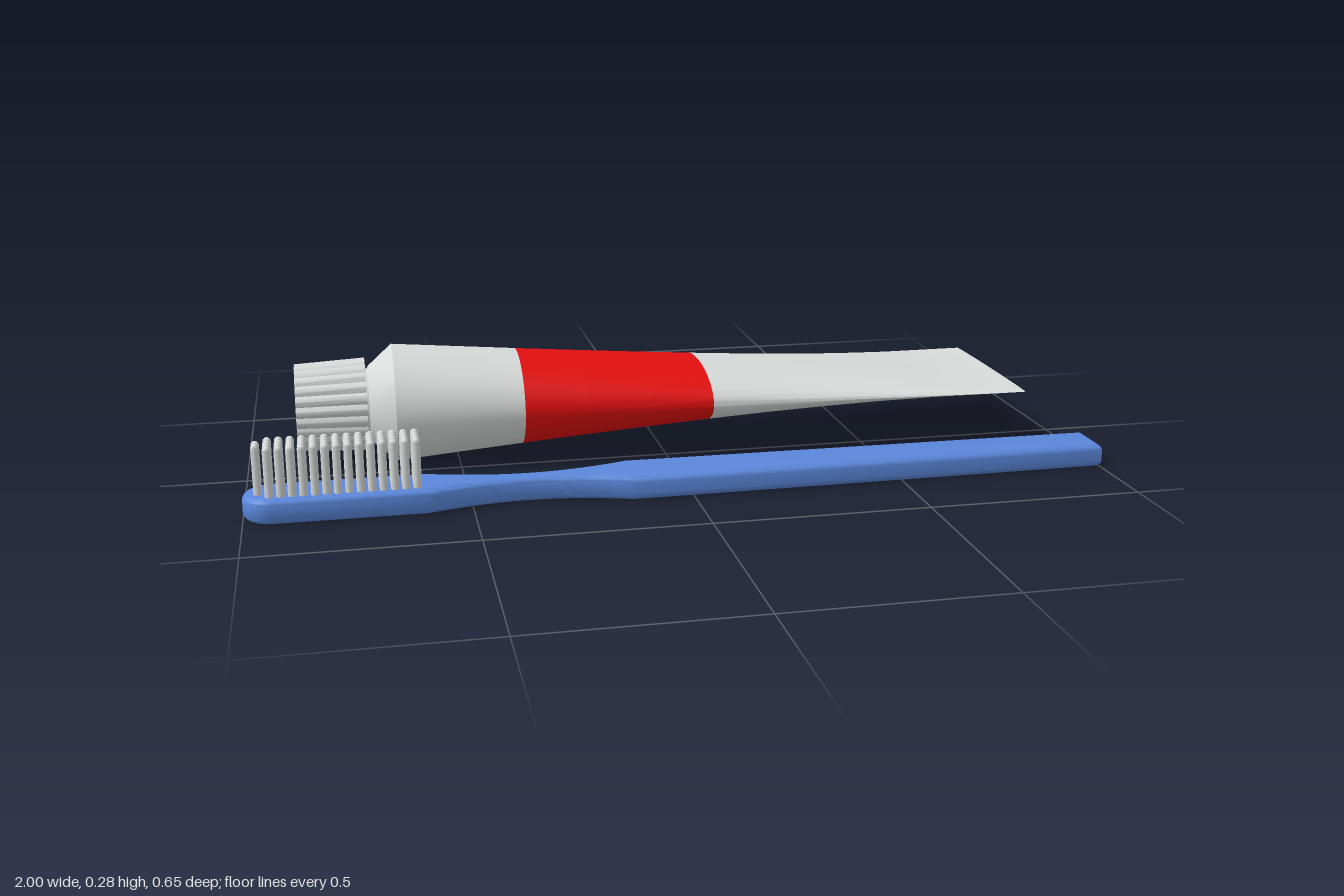
import * as THREE from 'three';
import { toCreasedNormals, mergeVertices } from 'three/addons/utils/BufferGeometryUtils.js';

const TUBE_Y = 0.143, TUBE_Z = -0.1;

// Skin elliptical rings { x, a: half width, b: half height, rib: groove depth } running towards +x
function loft(rings, n, ribs = 0) {
  const pos = [], idx = [];
  for (const { x, a, b = a, rib = 0 } of rings) {
    for (let j = 0; j < n; j++) {
      const t = (j / n) * Math.PI * 2;
      const groove = rib * (1 - Math.abs(Math.sin(t * ribs / 2)));
      pos.push(x, TUBE_Y + (b - groove) * Math.sin(t), TUBE_Z + (a - groove) * Math.cos(t));
    }
  }
  for (let i = 0; i < rings.length - 1; i++) {
    for (let j = 0; j < n; j++) {
      const k = (j + 1) % n, p = i * n, q = p + n;
      idx.push(p + j, q + j, q + k, p + j, q + k, p + k);
    }
  }
  const g = new THREE.BufferGeometry();
  g.setAttribute('position', new THREE.Float32BufferAttribute(pos, 3));
  g.setIndex(idx);
  return g;
}

export function createModel() {
  const white = new THREE.MeshStandardMaterial({ color: 0xd8dcda });
  white.name = 'white';
  const red = new THREE.MeshStandardMaterial({ color: 0xe60f0f });
  red.name = 'red';
  const blue = new THREE.MeshStandardMaterial({ color: 0x5b88dc });
  blue.name = 'blue';

  const model = new THREE.Group();
  model.name = 'toothbrushAndPaste';
  const add = (name, geometry, material, parent = model) => {
    const mesh = new THREE.Mesh(geometry, material);
    mesh.name = name;
    parent.add(mesh);
    return mesh;
  };

  // Tube: round at the shoulder, pressed flat at the crimped end
  const tube = new THREE.Group();
  tube.name = 'tube';
  model.add(tube);
  const N = 64;
  const xs = [-0.65, -0.5, -0.35, -0.2, -0.05, 0.1, 0.24, 0.38, 0.52, 0.66, 0.8];
  const rings = xs.map((x) => {
    const t = (x + 0.65) / 1.45;
    return { x, a: THREE.MathUtils.lerp(0.141, 0.226, t), b: THREE.MathUtils.lerp(0.141, 0.003, t) };
  });
  rings.push({ x: 0.88, a: 0.226, b: 0.003 }, { x: 0.88, a: 0 });
  const body = loft(rings, N);
  const strip = N * 6;
  body.addGroup(0, strip * 2, 0);
  body.addGroup(strip * 2, strip * 3, 1); // coloured band
  body.addGroup(strip * 5, strip * (rings.length - 6), 0);
  add('tubeBody', toCreasedNormals(body, 0.6), [white, red], tube);

  // Shoulder and neck
  add('shoulder', toCreasedNormals(loft([
    { x: -0.74, a: 0.085 }, { x: -0.71, a: 0.085 }, { x: -0.706, a: 0.092 }, { x: -0.65, a: 0.141 },
  ], N), 0.5), white, tube);

  // Ribbed cap with a recessed end
  add('cap', toCreasedNormals(loft([
    { x: -0.865, a: 0 }, { x: -0.865, a: 0.085 }, { x: -0.88, a: 0.085 },
    { x: -0.88, a: 0.104, rib: 0.006 }, { x: -0.715, a: 0.112, rib: 0.006 }, { x: -0.715, a: 0.08 },
  ], 144, 24), 0.6), white, tube);

  // Brush
  const brush = new THREE.Group();
  brush.name = 'brush';
  brush.position.z = 0.256;
  model.add(brush);

  // Handle outline: round head, waisted neck, tapering grip
  const s = new THREE.Shape();
  s.moveTo(1, -0.057);
  s.lineTo(1, 0.057);
  s.lineTo(-0.14, 0.067);
  s.bezierCurveTo(-0.22, 0.04, -0.29, 0.025, -0.37, 0.025);
  s.bezierCurveTo(-0.45, 0.025, -0.52, 0.04, -0.6, 0.066);
  s.lineTo(-0.935, 0.066);
  s.bezierCurveTo(-0.975, 0.066, -1, 0.035, -1, 0);
  s.bezierCurveTo(-1, -0.035, -0.975, -0.066, -0.935, -0.066);
  s.lineTo(-0.6, -0.066);
  s.bezierCurveTo(-0.52, -0.04, -0.45, -0.025, -0.37, -0.025);
  s.bezierCurveTo(-0.29, -0.025, -0.22, -0.04, -0.14, -0.067);
  s.closePath();
  const bevel = 0.016;
  let handle = new THREE.ExtrudeGeometry(s, {
    depth: 0.057 - 2 * bevel, curveSegments: 14, bevelEnabled: true,
    bevelThickness: bevel, bevelSize: bevel, bevelOffset: -bevel, bevelSegments: 5,
  });
  handle.rotateX(-Math.PI / 2);
  handle.translate(0, bevel, 0);
  handle.deleteAttribute('normal');
  handle.deleteAttribute('uv');
  handle = toCreasedNormals(mergeVertices(handle, 1e-5), 0.7);
  add('handle', handle, blue, brush);

  // Bristles: four rows, with the outer rows one shorter at the rounded tip
  const bristles = new THREE.Group();
  bristles.name = 'bristles';
  brush.add(bristles);
  const tuft = new THREE.CapsuleGeometry(0.009, 0.112, 4, 10);
  for (let i = 0; i < 15; i++) {
    for (let r = 0; r < 4; r++) {
      if (i === 0 && (r === 0 || r === 3)) continue;
      add('bristle', tuft, white, bristles).position.set(-0.965 + i * 0.0246, 0.107, (r - 1.5) * 0.023 + 0.004);
    }
  }
  return model;
}
